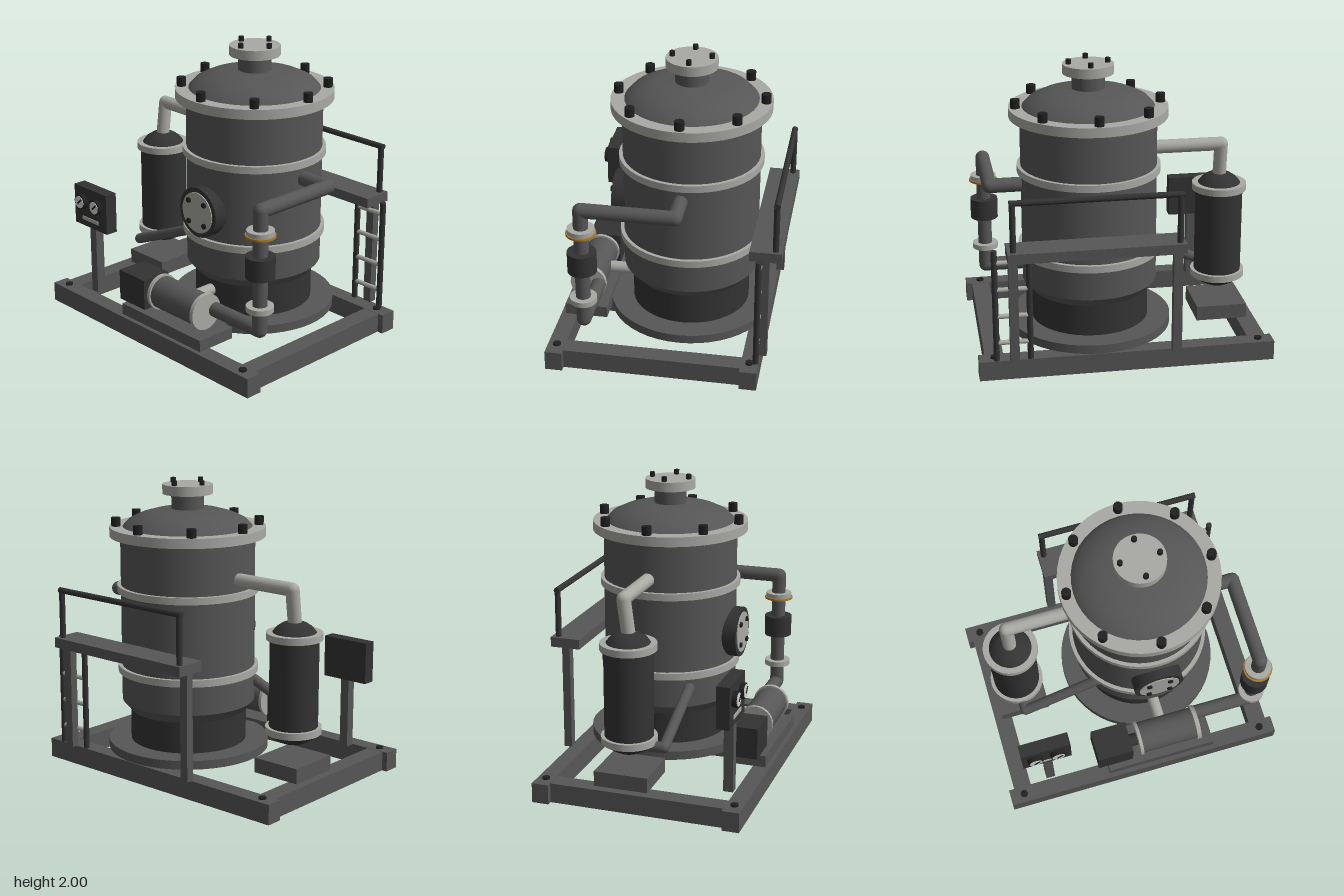
import * as THREE from 'three';

const mat = (name, color) => {
  const m = new THREE.MeshStandardMaterial({ color });
  m.name = name;
  return m;
};

export function createModel() {
  const root = new THREE.Group();
  root.name = 'processSkid';
  const steel = mat('steel grey', 0x565656);
  const dark = mat('dark grey', 0x333333);
  const black = mat('bolt black', 0x202020);
  const light = mat('light metal', 0xa9a9a4);
  const brass = mat('brass', 0xb07c28);
  const dial = mat('dial white', 0xd4d4d0);

  const add = (name, geo, m, x = 0, y = 0, z = 0) => {
    const mesh = new THREE.Mesh(geo, m);
    mesh.name = name;
    mesh.position.set(x, y, z);
    root.add(mesh);
    return mesh;
  };
  // box given by its limits
  const box = (name, m, x0, x1, y0, y1, z0, z1) =>
    add(name, new THREE.BoxGeometry(x1 - x0, y1 - y0, z1 - z0), m, (x0 + x1) / 2, (y0 + y1) / 2, (z0 + z1) / 2);
  // upright cylinder from y0 to y1
  const cyl = (name, m, x, z, r, y0, y1, seg = 40, rBottom = r) =>
    add(name, new THREE.CylinderGeometry(r, rBottom, y1 - y0, seg), m, x, (y0 + y1) / 2, z);
  // straight round bar between two points
  const bar = (name, m, a, b, r, seg = 20) => {
    const p = new THREE.Vector3(...a), q = new THREE.Vector3(...b);
    const d = q.clone().sub(p);
    const mesh = add(name, new THREE.CylinderGeometry(r, r, d.length(), seg), m);
    mesh.position.copy(p).add(q).multiplyScalar(0.5);
    mesh.quaternion.setFromUnitVectors(new THREE.Vector3(0, 1, 0), d.normalize());
    return mesh;
  };
  // pipe run with a ball at each inner corner
  const pipe = (name, m, pts, r) => {
    for (let i = 1; i < pts.length; i++) {
      bar(name, m, pts[i - 1], pts[i], r);
      if (i < pts.length - 1) add(name + 'Elbow', new THREE.SphereGeometry(r, 20, 12), m, ...pts[i]);
    }
  };
  const lathe = (name, m, pts, x, z) =>
    add(name, new THREE.LatheGeometry(pts.map(p => new THREE.Vector2(...p)), 40), m, x, 0, z);

  // base frame
  const deck = 0.135;
  box('frontBeam', steel, -0.995, 0.99, 0, deck, 0.645, 0.76);
  box('backBeam', steel, -0.995, 0.99, 0, deck, -0.65, -0.535);
  for (const x of [-0.895, 0.18, 0.887]) box('crossBeam', steel, x - 0.062, x + 0.062, 0, deck - 0.001, -0.54, 0.65);
  for (const x of [-0.895, 0.887])
    for (const z of [-0.59, 0.7]) cyl('frameBolt', black, x, z, 0.026, deck, deck + 0.012, 16);

  // main vessel
  const vx = 0.18, vz = -0.09;
  cyl('vesselFootPlate', steel, vx, vz, 0.555, deck, 0.195, 48);
  cyl('vesselSkirt', dark, vx, vz, 0.4, 0.195, 0.415, 48);
  cyl('vesselCone', steel, vx, vz, 0.458, 0.41, 0.478, 48, 0.4);
  cyl('vesselShell', steel, vx, vz, 0.458, 0.478, 1.62, 48);
  for (const y of [0.705, 1.263]) cyl('vesselBand', light, vx, vz, 0.483, y - 0.024, y + 0.024, 48);
  cyl('vesselFlange', light, vx, vz, 0.53, 1.62, 1.685, 48);
  lathe('vesselDome', steel, [[0.44, 1.685], [0.4, 1.728], [0.32, 1.766], [0.22, 1.794], [0, 1.81]], vx, vz);
  cyl('neck', steel, vx, vz, 0.11, 1.79, 1.905, 32);
  cyl('neckFlange', light, vx, vz, 0.17, 1.903, 1.968, 40);
  const boltRing = (name, n, r, br, y0, y1) => {
    for (let i = 0; i < n; i++) {
      const a = (i / n) * Math.PI * 2;
      cyl(name, black, vx + r * Math.cos(a), vz + r * Math.sin(a), br, y0, y1, 12);
    }
  };
  boltRing('vesselFlangeBolt', 8, 0.485, 0.032, 1.685, 1.745);
  boltRing('neckFlangeBolt', 4, 0.13, 0.018, 1.965, 2.0);

  // round manway on the front
  bar('manwayRing', dark, [vx, 0.925, 0.28], [vx, 0.925, 0.43], 0.172, 40);
  bar('manwayCover', light, [vx, 0.925, 0.425], [vx, 0.925, 0.437], 0.14, 40);
  for (const sx of [-1, 1])
    for (const sy of [-1, 1]) {
      const x = vx + sx * 0.073, y = 0.925 + sy * 0.073;
      bar('manwayBolt', black, [x, y, 0.43], [x, y, 0.45], 0.018, 12);
    }

  // condenser
  const cx = -0.727, cz = -0.066;
  box('condenserPlinth', steel, -0.9, -0.55, deck, 0.237, -0.25, 0.117);
  cyl('condenserShell', dark, cx, cz, 0.162, 0.44, 1.05);
  for (const y of [0.43, 1.063]) cyl('condenserFlange', light, cx, cz, 0.186, y - 0.023, y + 0.023);
  lathe('condenserTop', dark, [[0.145, 1.085], [0.12, 1.118], [0.08, 1.145], [0, 1.165]], cx, cz);
  lathe('condenserBottom', dark, [[0, 0.325], [0.08, 0.342], [0.13, 0.37], [0.155, 0.41]], cx, cz);
  pipe('vapourPipe', light, [[-0.25, 1.37, -0.095], [cx, 1.37, -0.095], [cx, 1.15, cz]], 0.046);
  pipe('condensatePipe', steel, [[cx, 0.39, cz], [cx, 0.39, 0.172], [-0.19, 0.62, 0.172]], 0.036);

  // circulation pipe with valve
  const px = 0.85, pz = 0.515;
  pipe('circulationPipe', steel,
    [[0.58, 1.155, vz], [px, 1.155, vz], [px, 1.155, pz], [px, 0.34, pz], [0.42, 0.34, pz]], 0.049);
  cyl('upperPipeFlange', light, px, pz, 0.09, 1.0, 1.03, 32);
  cyl('brassGasket', brass, px, pz, 0.099, 0.985, 1.0, 32);
  cyl('valveBody', dark, px, pz, 0.096, 0.71, 0.855, 32);
  cyl('lowerPipeFlange', light, px, pz, 0.09, 0.478, 0.515, 32);

  // pump set
  const py = 0.342, pumpZ = 0.587;
  box('pumpBase', steel, -0.26, 0.52, deck, 0.215, 0.44, 0.73);
  box('pumpMotor', dark, -0.33, -0.075, 0.215, 0.43, 0.47, 0.69);
  bar('pumpShaft', dark, [-0.09, py, pumpZ], [0, py, pumpZ], 0.045);
  bar('pumpBody', steel, [-0.01, py, pumpZ], [0.41, py, pumpZ], 0.112, 32);
  bar('pumpRearFlange', light, [-0.02, py, pumpZ], [0.003, py, pumpZ], 0.124, 32);
  bar('pumpFrontFlange', light, [0.4, py, pumpZ], [0.43, py, pumpZ], 0.124, 32);
  bar('pumpSuctionPipe', light, [vx, 0.335, 0.28], [vx, 0.335, 0.5], 0.04);

  // gauge panel
  box('panelPost', steel, -0.71, -0.647, deck, 0.63, 0.57, 0.635);
  box('panelBox', dark, -0.855, -0.51, 0.62, 0.905, 0.56, 0.648);
  box('panelPlate', light, -0.77, -0.6, 0.665, 0.69, 0.646, 0.654);
  for (const x of [-0.765, -0.605]) {
    bar('gaugeRim', black, [x, 0.8, 0.64], [x, 0.8, 0.68], 0.053, 28);
    bar('gaugeFace', dial, [x, 0.8, 0.676], [x, 0.8, 0.684], 0.044, 28);
    const needle = add('gaugeNeedle', new THREE.BoxGeometry(0.05, 0.01, 0.006), black, x + 0.008, 0.807, 0.686);
    needle.rotation.z = 0.75;
  }

  // rear platform, handrail and ladder
  box('platformDeck', steel, -0.36, 0.795, 0.86, 0.928, -0.768, -0.56);
  for (const x of [-0.32, 0.757]) {
    box('platformLeg', steel, x - 0.03, x + 0.03, deck, 0.87, -0.69, -0.635);
    bar('handrailPost', dark, [x, 0.92, -0.725], [x, 1.255, -0.725], 0.02, 14);
  }
  bar('handrail', dark, [-0.34, 1.255, -0.725], [0.777, 1.255, -0.725], 0.02, 14);
  for (const x of [0.65, 0.873]) bar('ladderStile', dark, [x, deck, -0.63], [x, 0.905, -0.63], 0.02, 14);
  for (let i = 0; i < 4; i++) {
    const y = 0.26 + i * 0.187;
    bar('ladderRung', light, [0.65, y, -0.63], [0.873, y, -0.63], 0.016, 12);
  }
  return root;
}
